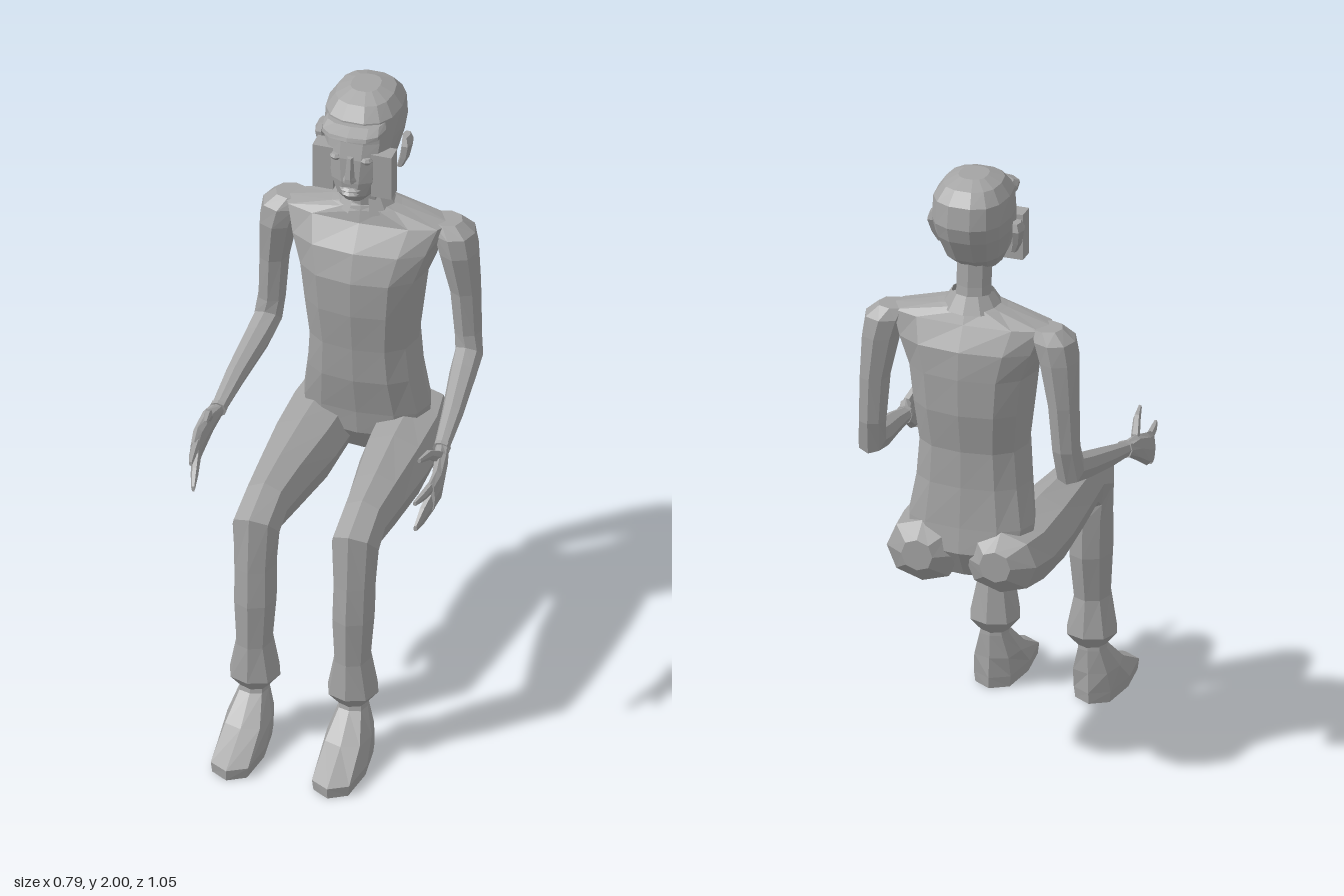
import * as THREE from 'three';

const grey = new THREE.MeshStandardMaterial({ color: 0xa4a4a4, flatShading: true, side: THREE.DoubleSide });
grey.name = 'plain grey';

// Capped skin over rings [x, y, z, half width, half depth, tilt]; tilt 0 lies flat, 90 stands upright.
function loft(rings, sides = 8, power = 0.85, mirror = 1) {
  const pos = [], idx = [];
  const bend = (v) => Math.sign(v) * Math.pow(Math.abs(v), power);
  rings.forEach(([x, y, z, rx, rv, tilt = 0]) => {
    const t = THREE.MathUtils.degToRad(tilt);
    for (let i = 0; i < sides; i++) {
      const a = (i / sides) * Math.PI * 2;
      const u = rx * bend(Math.cos(a)), v = rv * bend(Math.sin(a));
      pos.push(mirror * (x + u), y + v * Math.sin(t), z + v * Math.cos(t));
    }
  });
  const last = (rings.length - 1) * sides, c0 = rings.length * sides;
  for (const [x, y, z] of [rings[0], rings[rings.length - 1]]) pos.push(mirror * x, y, z);
  for (let i = 0; i < sides; i++) {
    const j = (i + 1) % sides;
    for (let r = 0; r < last; r += sides) {
      idx.push(r + i, r + sides + i, r + j, r + j, r + sides + i, r + sides + j);
    }
    idx.push(c0, i, j, c0 + 1, last + j, last + i);
  }
  // Turn all faces outward by the sign of the enclosed volume.
  const p = (k) => new THREE.Vector3().fromArray(pos, idx[k] * 3);
  let volume = 0;
  for (let k = 0; k < idx.length; k += 3) volume += p(k).dot(p(k + 1).cross(p(k + 2)));
  if (volume < 0) idx.reverse();
  const g = new THREE.BufferGeometry();
  g.setAttribute('position', new THREE.Float32BufferAttribute(pos, 3));
  g.setIndex(idx);
  const flat = g.toNonIndexed();
  flat.computeVertexNormals();
  return flat;
}

export function createModel() {
  const model = new THREE.Group();
  model.name = 'seatedFigure';
  const add = (name, geometry, x = 0, y = 0, z = 0) => {
    const mesh = new THREE.Mesh(geometry, grey);
    mesh.name = name;
    mesh.position.set(x, y, z);
    model.add(mesh);
    return mesh;
  };

  // Torso and neck
  add('torso', loft([
    [0, 0.70, -0.39, 0.09, 0.06],
    [0, 0.79, -0.385, 0.19, 0.115],
    [0, 0.87, -0.375, 0.20, 0.115],
    [0, 1.00, -0.355, 0.18, 0.125],
    [0, 1.12, -0.35, 0.17, 0.13],
    [0, 1.25, -0.353, 0.185, 0.15],
    [0, 1.37, -0.353, 0.20, 0.153],
    [0, 1.46, -0.365, 0.235, 0.135],
    [0, 1.535, -0.375, 0.265, 0.085],
    [0, 1.575, -0.37, 0.11, 0.07],
    [0, 1.59, -0.365, 0.06, 0.06],
  ], 12, 0.8));
  add('neck', loft([
    [0, 1.55, -0.37, 0.058, 0.06],
    [0, 1.64, -0.36, 0.055, 0.057],
    [0, 1.74, -0.355, 0.055, 0.057],
  ]));

  // Shirt collar, open at the front
  const collar = new THREE.CylinderGeometry(0.065, 0.098, 0.05, 10, 1, true, 0.35, Math.PI * 2 - 0.7);
  collar.scale(1, 1, 0.92);
  add('collar', collar, 0, 1.592, -0.37);

  // Head
  add('head', loft([
    [0, 1.662, -0.255, 0.033, 0.035],
    [0, 1.69, -0.29, 0.065, 0.09],
    [0, 1.74, -0.32, 0.092, 0.125],
    [0, 1.82, -0.345, 0.112, 0.145],
    [0, 1.87, -0.36, 0.118, 0.145],
    [0, 1.94, -0.36, 0.115, 0.135],
    [0, 1.98, -0.36, 0.088, 0.10],
    [0, 2.0, -0.36, 0.045, 0.05],
  ], 14, 0.8));
  add('browPeak', loft([
    [0, 1.9, -0.26, 0.09, 0.07],
    [0, 1.908, -0.25, 0.098, 0.085],
    [0, 1.92, -0.25, 0.098, 0.08],
    [0, 1.935, -0.27, 0.09, 0.06],
  ], 12, 0.75));
  add('nose', loft([
    [0, 1.83, -0.205, 0.01, 0.014],
    [0, 1.765, -0.198, 0.015, 0.026],
    [0, 1.75, -0.198, 0.022, 0.027],
    [0, 1.738, -0.203, 0.012, 0.012],
  ], 6, 1));
  for (const [name, y, w] of [['upperLip', 1.715, 0.034], ['lowerLip', 1.70, 0.028]]) {
    add(name, loft([
      [0, y - 0.008, -0.205, w * 0.7, 0.012],
      [0, y, -0.205, w, 0.022],
      [0, y + 0.007, -0.205, w * 0.6, 0.014],
    ], 8, 1));
  }

  for (const [side, s] of [['left', 1], ['right', -1]]) {
    const part = (name, rings, sides, power) => add(side + name, loft(rings, sides, power, s));

    // Face details
    add(side + 'CheekBlock', new THREE.BoxGeometry(0.065, 0.15, 0.055), s * 0.0925, 1.765, -0.2475);
    part('Eye', [
      [0.048, 1.81, -0.215, 0.012, 0.012],
      [0.048, 1.82, -0.215, 0.02, 0.018],
      [0.048, 1.83, -0.215, 0.012, 0.012],
    ], 8, 1);
    part('Ear', [
      [0.117, 1.745, -0.33, 0.01, 0.012],
      [0.13, 1.78, -0.335, 0.015, 0.022],
      [0.137, 1.825, -0.342, 0.017, 0.033],
      [0.132, 1.85, -0.345, 0.012, 0.022],
    ], 6);

    // Arm, bent at the elbow
    part('Arm', [
      [0.245, 1.54, -0.39, 0.05, 0.045],
      [0.27, 1.505, -0.39, 0.065, 0.072],
      [0.285, 1.44, -0.39, 0.06, 0.075],
      [0.302, 1.3, -0.40, 0.047, 0.06],
      [0.31, 1.15, -0.40, 0.043, 0.05],
      [0.318, 1.075, -0.385, 0.044, 0.052, 45],
      [0.325, 1.05, -0.30, 0.042, 0.043, 78],
      [0.343, 1.01, -0.14, 0.033, 0.034, 78],
      [0.353, 0.975, 0, 0.024, 0.022, 78],
    ], 8, 0.9);
    part('Cuff', [
      [0.353, 0.977, -0.012, 0.027, 0.027, 78],
      [0.353, 0.975, 0.002, 0.027, 0.027, 78],
    ]);

    // Hand
    part('Palm', [
      [0.354, 0.975, -0.005, 0.022, 0.02, 90],
      [0.368, 0.96, 0.05, 0.022, 0.042, 90],
      [0.378, 0.925, 0.12, 0.019, 0.055, 90],
      [0.373, 0.91, 0.17, 0.015, 0.052, 90],
    ]);
    part('Fingers', [
      [0.373, 0.897, 0.15, 0.015, 0.04, 90],
      [0.36, 0.868, 0.21, 0.012, 0.03, 90],
      [0.351, 0.845, 0.25, 0.006, 0.01, 90],
    ], 6);
    part('IndexFinger', [
      [0.373, 0.942, 0.15, 0.013, 0.02, 90],
      [0.363, 0.943, 0.22, 0.011, 0.015, 90],
      [0.354, 0.945, 0.265, 0.006, 0.008, 90],
    ], 6);
    part('Thumb', [
      [0.366, 0.98, 0.05, 0.015, 0.025, 90],
      [0.35, 1.023, 0.11, 0.012, 0.018, 90],
      [0.338, 1.036, 0.17, 0.006, 0.008, 90],
    ], 6);

    // Leg from seat to trouser hem
    part('Leg', [
      [0.125, 0.775, -0.522, 0.05, 0.05, 90],
      [0.125, 0.77, -0.47, 0.115, 0.10, 90],
      [0.14, 0.76, -0.36, 0.115, 0.105, 90],
      [0.145, 0.755, -0.18, 0.107, 0.113, 90],
      [0.152, 0.76, 0.02, 0.085, 0.10, 90],
      [0.155, 0.765, 0.16, 0.072, 0.085, 90],
      [0.157, 0.735, 0.235, 0.074, 0.10, 45],
      [0.157, 0.62, 0.24, 0.066, 0.08],
      [0.155, 0.5, 0.245, 0.066, 0.083],
      [0.155, 0.35, 0.255, 0.056, 0.068],
      [0.155, 0.23, 0.25, 0.08, 0.08],
      [0.155, 0.185, 0.25, 0.043, 0.043],
    ], 8, 0.9);

    // Foot
    part('Foot', [
      [0.156, 0.2, 0.25, 0.042, 0.042],
      [0.157, 0.175, 0.252, 0.045, 0.046],
      [0.158, 0.1, 0.295, 0.07, 0.09],
      [0.16, 0.035, 0.363, 0.075, 0.16],
      [0.16, 0, 0.363, 0.07, 0.157],
    ], 8, 0.7);
  }
  return model;
}
